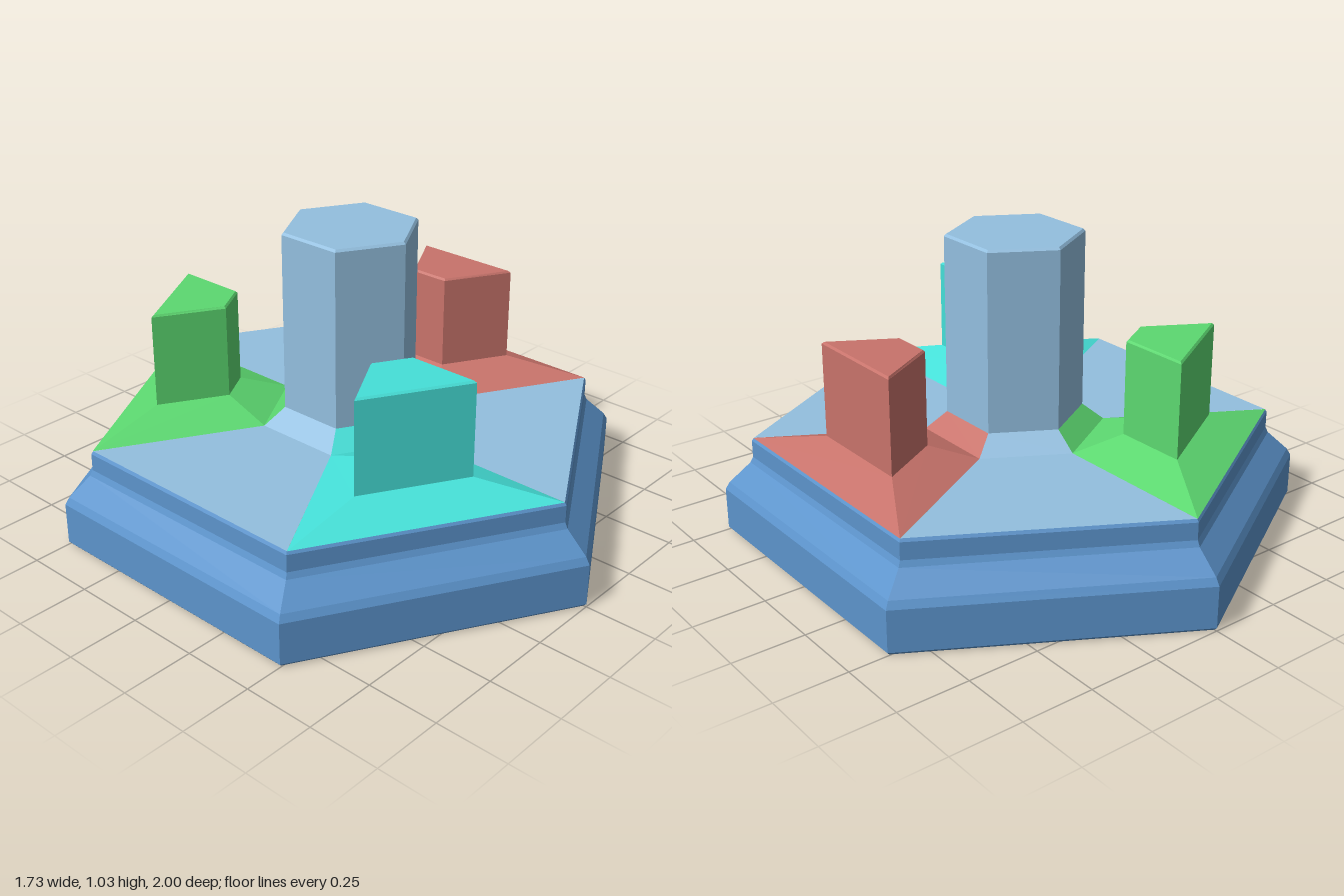
import * as THREE from 'three';

const paint = (color) => new THREE.MeshStandardMaterial({ color, flatShading: true });

// Six-sided turned solid, or just one 60 degree side of it centred on +x
function hexLathe(profile, oneSide = false) {
  const points = profile.map(([r, y]) => new THREE.Vector2(r, y));
  return oneSide
    ? new THREE.LatheGeometry(points, 1, Math.PI / 3, Math.PI / 3)
    : new THREE.LatheGeometry(points, 6);
}

// Skin over stacked trapezoids pointing along +x: [innerX, innerHalfZ, outerX, outerHalfZ, y]
function trapezoidLoft(sections) {
  const position = [];
  const index = [];
  sections.forEach(([xi, zi, xo, zo, y], s) => {
    position.push(xi, y, zi, xo, y, zo, xo, y, -zo, xi, y, -zi);
    if (s === 0) return;
    for (let i = 0; i < 4; i++) {
      const j = (i + 1) % 4;
      const lo = (s - 1) * 4;
      const hi = s * 4;
      index.push(lo + i, lo + j, hi + j, lo + i, hi + j, hi + i);
    }
  });
  const top = (sections.length - 1) * 4;
  index.push(top, top + 1, top + 2, top, top + 2, top + 3);
  const geometry = new THREE.BufferGeometry();
  geometry.setAttribute('position', new THREE.Float32BufferAttribute(position, 3));
  geometry.setIndex(index);
  geometry.computeVertexNormals();
  return geometry;
}

export function createModel() {
  const model = new THREE.Group();
  const add = (name, geometry, material, turn = 0) => {
    const mesh = new THREE.Mesh(geometry, material);
    mesh.name = name;
    mesh.rotation.y = turn;
    model.add(mesh);
  };
  const baseBlue = paint(0x5c94cc);
  const lightBlue = paint(0x93bfdf);

  // Stepped hexagonal base
  add('base', hexLathe([
    [0, 0], [0.99, 0], [1, 0.01], [1, 0.155], [0.985, 0.18],
    [0.91, 0.25], [0.9, 0.27], [0.9, 0.33], [0.893, 0.34],
  ]), baseBlue);

  // Central hexagonal tower
  add('centralTower', hexLathe([
    [0.235, 0.4], [0.235, 1.022], [0.227, 1.03], [0, 1.03],
  ]), lightBlue);

  // Deck sectors and the sloped foot of the tower
  const deck = hexLathe([[0.893, 0.34], [0.31, 0.34]], true);
  const foot = hexLathe([[0.31, 0.34], [0.235, 0.4]], true);

  // Raised sector flaring up into a trapezoidal pillar
  const pillar = trapezoidLoft([
    [0.268, 0.155, 0.775, 0.447, 0.34],
    [0.415, 0.07, 0.635, 0.195, 0.4],
    [0.415, 0.07, 0.635, 0.195, 0.725],
    [0.421, 0.067, 0.629, 0.187, 0.732],
  ]);

  const sectors = [
    ['red', 0xc8736b],
    ['green', 0x5cd870],
    ['cyan', 0x45e0d8],
  ];
  sectors.forEach(([name, color], i) => {
    const turn = (i * 2 * Math.PI) / 3;
    const material = paint(color);
    add(`${name}Pillar`, pillar, material, turn);
    add(`${name}TowerFoot`, foot, material, turn);
    add(`deck${i + 1}`, deck, lightBlue, turn + Math.PI / 3);
    add(`towerFoot${i + 1}`, foot, lightBlue, turn + Math.PI / 3);
  });
  return model;
}
